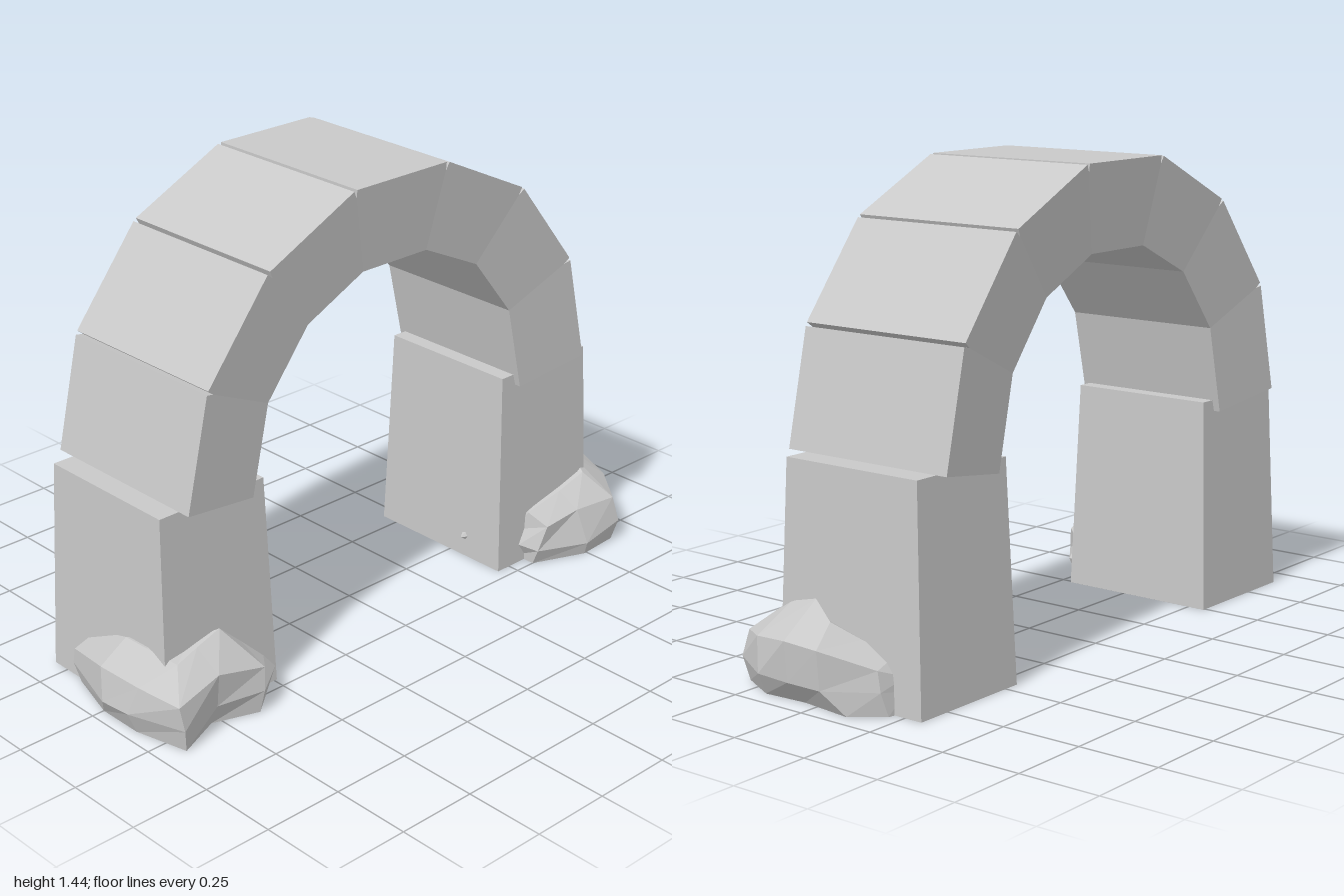
import * as THREE from 'three';

const stone = new THREE.MeshStandardMaterial({ color: 0xc8c8c8 });
stone.name = 'pale grey stone';

// Faceted geometry from a flat list of triangle corners
function faceted(corners) {
  const g = new THREE.BufferGeometry();
  g.setAttribute('position', new THREE.Float32BufferAttribute(corners.flat(), 3));
  g.computeVertexNormals();
  return g;
}

function part(name, geometry) {
  const mesh = new THREE.Mesh(geometry, stone);
  mesh.name = name;
  return mesh;
}

// Right half of the arch from springing to crown: [inner x, inner y, outer x, outer y]
const ARCH_X = -0.02;
const half = [[0.545, 0.62, 0.8, 0.66], [0.485, 0.89, 0.723, 1.002], [0.335, 1.08, 0.5, 1.285], [0.125, 1.18, 0.18, 1.44]];
const joints = [...half.map(([a, b, c, d]) => [-a, b, -c, d]), ...half.slice().reverse()];

// Wedge block, narrower in depth at the inside, with its outer edges nicked at the joints
function wedge(p, q, nickP, nickQ) {
  const at = (j, t) => [ARCH_X + j[0] + (j[2] - j[0]) * t, j[1] + (j[3] - j[1]) * t, t];
  const slide = (j, k, s) => {
    const a = at(j, 1), b = at(k, 1), f = s / Math.hypot(b[0] - a[0], b[1] - a[1]);
    return [a[0] + (b[0] - a[0]) * f, a[1] + (b[1] - a[1]) * f, 1];
  };
  const ring = [at(p, 0), at(q, 0)];
  if (nickQ) ring.push(at(q, 0.9), slide(q, p, 0.006)); else ring.push(at(q, 1));
  if (nickP) ring.push(slide(p, q, 0.006), at(p, 0.9)); else ring.push(at(p, 1));
  const front = ring.map(([x, y, t]) => [x, y, 0.21 + 0.028 * t]);
  const back = ring.map(([x, y, t]) => [x, y, -0.307 - 0.028 * t]);
  const tris = [], n = ring.length;
  for (let i = 1; i < n - 1; i++) {
    tris.push(front[0], front[i], front[i + 1], back[0], back[i + 1], back[i]);
  }
  for (let i = 0; i < n; i++) {
    const k = (i + 1) % n;
    tris.push(front[i], back[i], back[k], front[i], back[k], front[k]);
  }
  return faceted(tris);
}

// Pillar tapering slightly towards the top
function pillar() {
  const g = new THREE.BoxGeometry(0.41, 0.655, 0.52).toNonIndexed();
  g.translate(0, 0.3275, 0);
  const p = g.attributes.position;
  for (let i = 0; i < p.count; i++) {
    if (p.getY(i) > 0.1) p.setXYZ(i, p.getX(i) * 0.91, p.getY(i), p.getZ(i) * 0.91);
  }
  g.computeVertexNormals();
  return g;
}

// Boulder skinned over columns of [base, low, belly, top], closed at two points inside the pillar
function boulder(columns, coreBase, coreTop) {
  const cols = columns.map((c) => [coreBase, ...c, coreTop]);
  const tris = [], last = cols[0].length - 2;
  for (let i = 0; i < cols.length - 1; i++) {
    for (let j = 0; j <= last; j++) {
      const a = cols[i][j], b = cols[i + 1][j], c = cols[i + 1][j + 1], d = cols[i][j + 1];
      if (j > 0) tris.push(a, b, c);
      if (j < last) tris.push(a, c, d);
    }
  }
  return faceted(tris);
}

// Columns run around the outer front corner, from the back to the front
const rightBoulder = [
  [[-0.86, 0, -0.2], [-0.86, 0.06, -0.22], [-0.86, 0.1, -0.21], [-0.86, 0.15, -0.16]],
  [[-0.91, 0, -0.17], [-0.92, 0.06, -0.19], [-0.92, 0.11, -0.18], [-0.88, 0.18, -0.12]],
  [[-0.96, 0, 0], [-1.0, 0.07, 0.05], [-0.985, 0.17, 0.03], [-0.9, 0.235, 0.04]],
  [[-0.96, 0, 0.15], [-0.99, 0.07, 0.15], [-0.97, 0.16, 0.18], [-0.9, 0.238, 0.13]],
  [[-0.92, 0, 0.32], [-0.93, 0.07, 0.33], [-0.94, 0.145, 0.32], [-0.87, 0.215, 0.23]],
  [[-0.78, 0, 0.26], [-0.78, 0.07, 0.29], [-0.78, 0.175, 0.3], [-0.79, 0.235, 0.22]],
  [[-0.64, 0, 0.31], [-0.63, 0.07, 0.32], [-0.62, 0.14, 0.31], [-0.7, 0.255, 0.21]],
  [[-0.55, 0, 0.235], [-0.52, 0.07, 0.24], [-0.56, 0.12, 0.235], [-0.62, 0.18, 0.21]],
  [[-0.55, 0, 0.18], [-0.54, 0.07, 0.18], [-0.57, 0.11, 0.18], [-0.62, 0.16, 0.17]],
];
const leftBoulder = [
  [[0.82, 0, -0.22], [0.82, 0.06, -0.22], [0.82, 0.1, -0.22], [0.82, 0.15, -0.18]],
  [[0.88, 0, -0.21], [0.9, 0.07, -0.2], [0.9, 0.13, -0.19], [0.86, 0.19, -0.1]],
  [[0.95, 0, -0.12], [0.99, 0.07, -0.06], [1.0, 0.185, -0.06], [0.9, 0.235, -0.02]],
  [[0.93, 0, 0.05], [0.99, 0.07, 0.06], [1.0, 0.19, 0.06], [0.87, 0.28, 0.06]],
  [[0.94, 0, 0.19], [0.98, 0.07, 0.18], [0.96, 0.17, 0.2], [0.85, 0.25, 0.17]],
  [[0.88, 0, 0.31], [0.89, 0.07, 0.33], [0.88, 0.15, 0.31], [0.83, 0.225, 0.22]],
  [[0.74, 0, 0.32], [0.74, 0.04, 0.33], [0.73, 0.15, 0.29], [0.72, 0.195, 0.22]],
  [[0.57, 0, 0.25], [0.57, 0.05, 0.27], [0.6, 0.13, 0.28], [0.58, 0.165, 0.215]],
  [[0.57, 0, 0.17], [0.545, 0.06, 0.21], [0.56, 0.1, 0.18], [0.58, 0.15, 0.17]],
];

export function createModel() {
  const model = new THREE.Group();
  model.name = 'stoneArch';

  const arch = new THREE.Group();
  arch.name = 'archRing';
  for (let i = 0; i < 7; i++) {
    arch.add(part('archBlock' + (i + 1), wedge(joints[i], joints[i + 1], i > 0, i < 6)));
  }
  model.add(arch);

  for (const [name, x] of [['leftPillar', 0.655], ['rightPillar', -0.695]]) {
    const mesh = part(name, pillar());
    mesh.position.set(x, 0, -0.048);
    model.add(mesh);
  }

  model.add(part('rightBoulder', boulder(rightBoulder, [-0.72, 0, 0], [-0.78, 0.24, 0.18])));
  model.add(part('leftBoulder', boulder(leftBoulder.slice().reverse(), [0.7, 0, 0], [0.8, 0.22, 0.15])));

  // Tip of the boulder poking through the pillar's inner face
  const tip = part('boulderTip', new THREE.ConeGeometry(0.03, 0.04, 5).toNonIndexed());
  tip.geometry.computeVertexNormals();
  tip.rotation.z = Math.PI / 2;
  tip.position.set(0.455, 0.07, 0.06);
  model.add(tip);

  return model;
}
